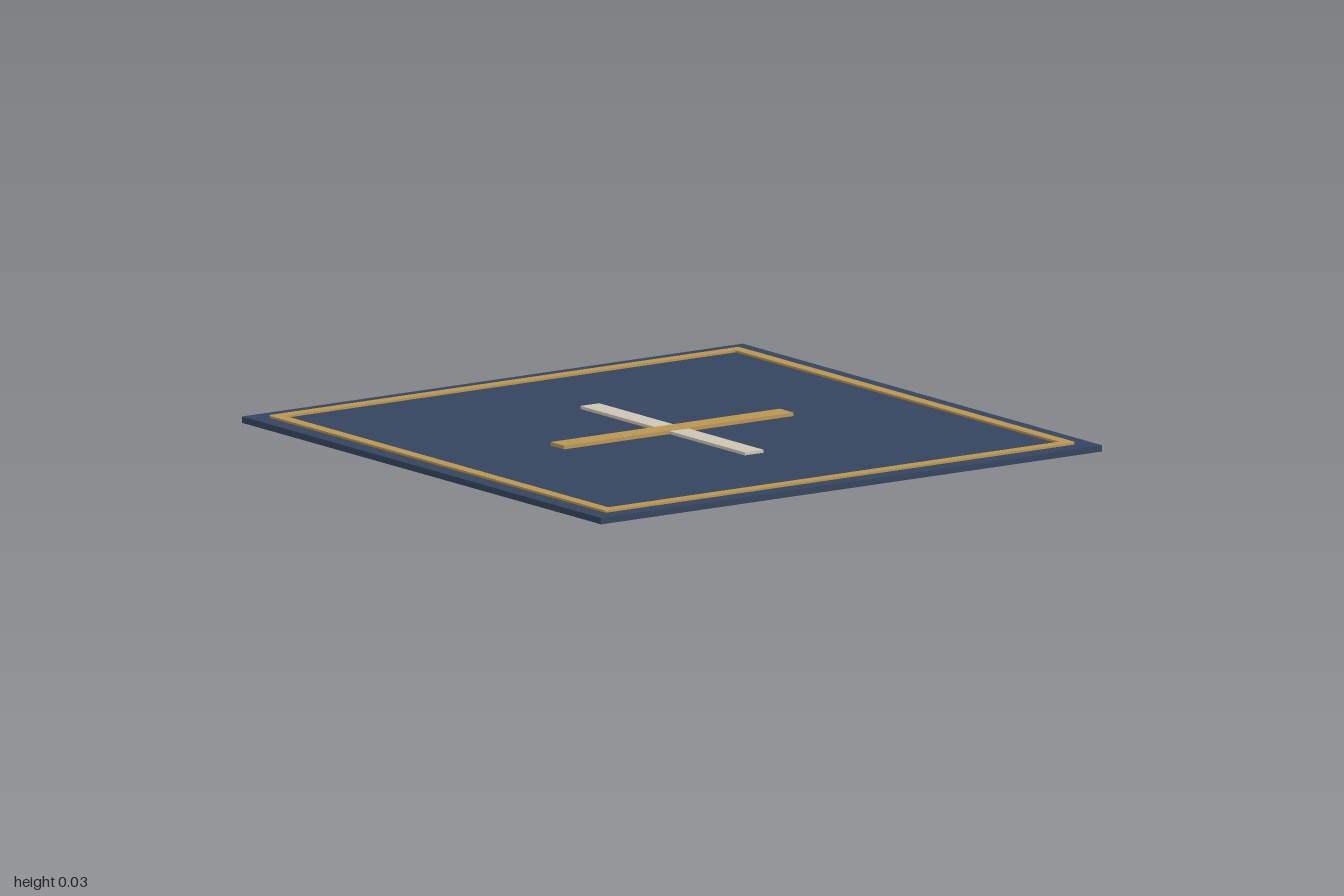
import * as THREE from 'three';

const material = (color) => new THREE.MeshStandardMaterial({ color });

// Square outline with small corner radius
function roundedSquare(path, half, r) {
  path.moveTo(half - r, -half);
  path.absarc(half - r, -half + r, r, -Math.PI / 2, 0);
  path.absarc(half - r, half - r, r, 0, Math.PI / 2);
  path.absarc(-half + r, half - r, r, Math.PI / 2, Math.PI);
  path.absarc(-half + r, -half + r, r, Math.PI, Math.PI * 1.5);
  path.closePath();
  return path;
}

export function createModel() {
  const model = new THREE.Group();
  const navy = material(0x34455e);
  const gold = material(0xb9964f);
  const cream = material(0xcdc5b3);

  // Box resting with its underside at height bottom
  function slab(name, width, height, depth, bottom, mat) {
    const mesh = new THREE.Mesh(new THREE.BoxGeometry(width, height, depth), mat);
    mesh.name = name;
    mesh.position.y = bottom + height / 2;
    model.add(mesh);
  }

  // Floor panel
  slab('basePanel', 2, 0.021, 2, 0, navy);

  // Thin raised border frame
  const outline = roundedSquare(new THREE.Shape(), 0.94, 0.015);
  const inner = 0.9;
  outline.holes.push(new THREE.Path([
    new THREE.Vector2(-inner, -inner), new THREE.Vector2(-inner, inner),
    new THREE.Vector2(inner, inner), new THREE.Vector2(inner, -inner),
  ]));
  const frame = new THREE.ExtrudeGeometry(outline, { depth: 0.007, bevelEnabled: false, curveSegments: 4 });
  frame.rotateX(-Math.PI / 2);
  const border = new THREE.Mesh(frame, gold);
  border.name = 'borderFrame';
  border.position.y = 0.021;
  model.add(border);

  // Centre cross, the sideways bar lying just above the other
  slab('lengthwiseBar', 0.075, 0.01, 0.915, 0.021, cream);
  slab('crosswiseBar', 0.915, 0.012, 0.075, 0.021, gold);

  return model;
}
